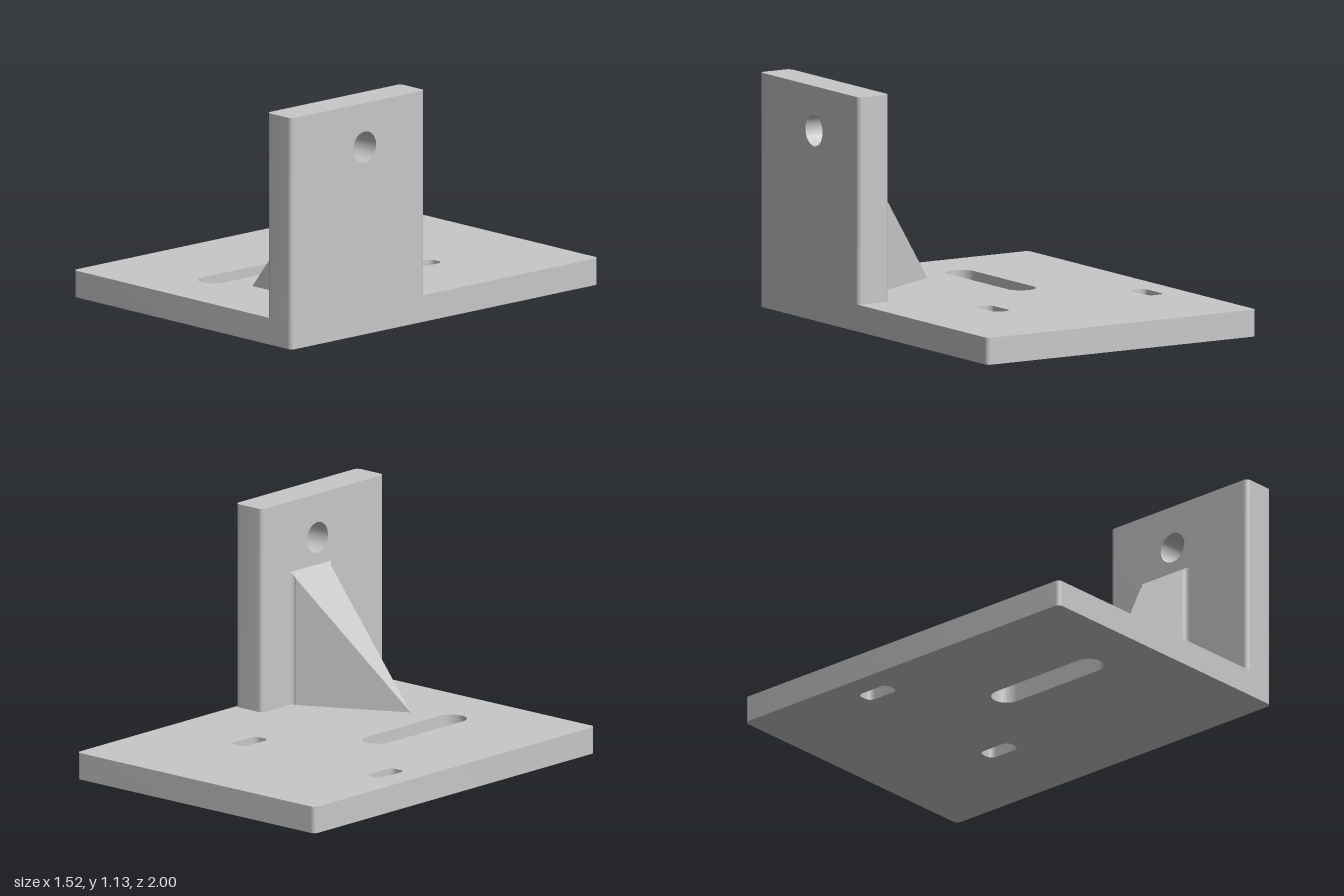
import * as THREE from 'three';
import { toCreasedNormals } from 'three/addons/utils/BufferGeometryUtils.js';

const BASE_TOP = 0.13, WALL_TOP = 1.13, WALL_X = 0.588, HALF_W = 0.76;

// Rounded rectangle between two corners
function roundedRect(path, x0, y0, x1, y1, r) {
  path.absarc(x1 - r, y0 + r, r, -Math.PI / 2, 0);
  path.absarc(x1 - r, y1 - r, r, 0, Math.PI / 2);
  path.absarc(x0 + r, y1 - r, r, Math.PI / 2, Math.PI);
  path.absarc(x0 + r, y0 + r, r, Math.PI, Math.PI * 1.5);
  path.closePath();
  return path;
}

// Apply a rule to every vertex
function moveVertices(geometry, rule) {
  const p = geometry.attributes.position;
  const v = new THREE.Vector3();
  for (let i = 0; i < p.count; i++) {
    rule(v.fromBufferAttribute(p, i));
    p.setXYZ(i, v.x, v.y, v.z);
  }
}

// Plate with one long slot and two short ones, drawn in plan
function basePlate() {
  const shape = roundedRect(new THREE.Shape(), -HALF_W, -1, HALF_W, 1, 0.024);
  shape.holes.push(
    roundedRect(new THREE.Path(), -0.227, 0.054, -0.08, 0.725, 0.0734),
    roundedRect(new THREE.Path(), -0.633, -0.394, -0.545, -0.215, 0.03),
    roundedRect(new THREE.Path(), 0.236, -0.394, 0.324, -0.215, 0.03),
  );
  const g = new THREE.ExtrudeGeometry(shape, { depth: BASE_TOP, bevelEnabled: false, curveSegments: 12 });
  return g.rotateX(Math.PI / 2).translate(0, BASE_TOP, 0);
}

// Wall with a bolt hole; only its upright edges stay rounded
function uprightWall() {
  const hole = { z: 0.524, y: 0.915, r: 0.075 }, round = 0.024;
  const shape = new THREE.Shape([[-1, BASE_TOP], [-0.13, BASE_TOP], [-0.13, WALL_TOP], [-1, WALL_TOP]]
    .map(([x, y]) => new THREE.Vector2(x, y)));
  shape.holes.push(new THREE.Path().absarc(-hole.z, hole.y, hole.r, 0, Math.PI * 2, true));
  const g = new THREE.ExtrudeGeometry(shape, {
    depth: HALF_W - WALL_X - 2 * round, curveSegments: 28,
    bevelThickness: round, bevelSize: round, bevelOffset: -round, bevelSegments: 14,
  });
  g.rotateY(Math.PI / 2).translate(WALL_X + round, 0, 0);
  moveVertices(g, (v) => {
    const dy = v.y - hole.y, dz = v.z - hole.z, d = Math.hypot(dy, dz);
    if (d < hole.r + 0.05) {
      v.y = hole.y + dy * hole.r / d;
      v.z = hole.z + dz * hole.r / d;
    } else {
      v.y = v.y > 0.6 ? WALL_TOP : BASE_TOP;
    }
  });
  return g;
}

// Sloping brace, flared where it meets the wall
function gusset() {
  const x0 = 0.066, z0 = 0.345, z1 = 0.605, f = 0.025, rise = 0.652;
  const shape = new THREE.Shape();
  shape.moveTo(x0, z0);
  shape.absarc(WALL_X - f, z0 - f, f, Math.PI / 2, 0, true);
  shape.absarc(WALL_X - f, z1 + f, f, 0, -Math.PI / 2, true);
  shape.lineTo(x0, z1);
  shape.closePath();
  const g = new THREE.ExtrudeGeometry(shape, { depth: 1, bevelEnabled: false, curveSegments: 8 });
  g.rotateX(Math.PI / 2).translate(0, 1, 0);
  moveVertices(g, (v) => {
    const height = Math.max(0.001, rise * (v.x - x0) / (WALL_X - x0));
    v.y = BASE_TOP + v.y * height;
  });
  return g;
}

export function createModel() {
  const group = new THREE.Group();
  group.name = 'mountingBracket';
  const steel = new THREE.MeshStandardMaterial({ color: 0xc8c8c8 });
  steel.name = 'light grey steel';

  const parts = { basePlate: basePlate(), uprightWall: uprightWall(), gusset: gusset() };
  for (const [name, geometry] of Object.entries(parts)) {
    const mesh = new THREE.Mesh(toCreasedNormals(geometry, 0.15), steel);
    mesh.name = name;
    group.add(mesh);
  }
  return group;
}
